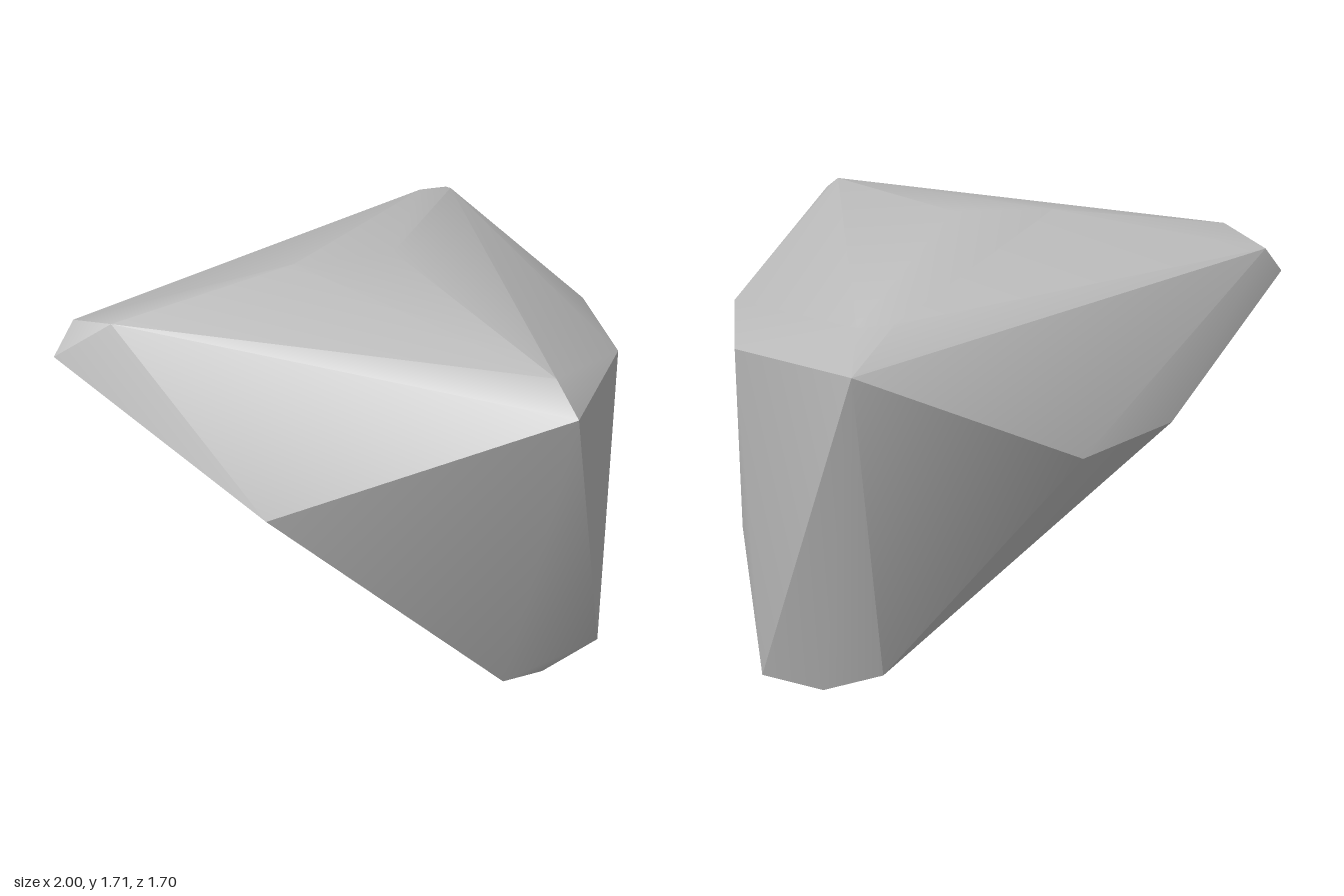
import * as THREE from 'three';
import { toCreasedNormals } from 'three/addons/utils/BufferGeometryUtils.js';
import { ConvexGeometry } from 'three/addons/geometries/ConvexGeometry.js';

// Chipped corners of the stone, grouped by region: [x, y, z]
const tip = [[-1, 1.42, -0.01], [-0.92, 1.53, -0.06], [-0.8, 1.58, 0.08]];
const crown = [[-0.16, 1.695, 0], [0.19, 1.705, 0]];
const frontShoulder = [[0.6, 1.51, 0.85], [0.56, 1.59, 0.72], [-0.37, 1.06, 0.59]];
const backShoulder = [
  [0.6, 1.5, -0.85], [0.57, 1.585, -0.67], [0.45, 1.59, -0.67],
  [-0.17, 1.04, -0.63], [-0.53, 1.025, -0.38],
];
const sideFace = [[0.97, 1.33, 0.2], [0.97, 1.32, -0.2], [1, 0.5, -0.01]];
const foot = [
  [0.96, 0.09, 0.33], [0.96, 0.05, -0.33],
  [0.73, 0, 0.37], [0.74, 0.01, -0.4],
  [0.54, 0.07, 0.47], [0.52, 0.09, -0.45],
];

export function createModel() {
  const group = new THREE.Group();
  group.name = 'rock';

  const stone = new THREE.MeshStandardMaterial({ color: 0xbcbcbc });
  stone.name = 'stone grey';

  // Convex boulder: shallow edges blend smoothly, steep ones stay sharp
  const corners = [...tip, ...crown, ...frontShoulder, ...backShoulder, ...sideFace, ...foot]
    .map((p) => new THREE.Vector3(...p));
  const geometry = toCreasedNormals(new ConvexGeometry(corners), THREE.MathUtils.degToRad(32));

  const boulder = new THREE.Mesh(geometry, stone);
  boulder.name = 'boulder';
  group.add(boulder);
  return group;
}
